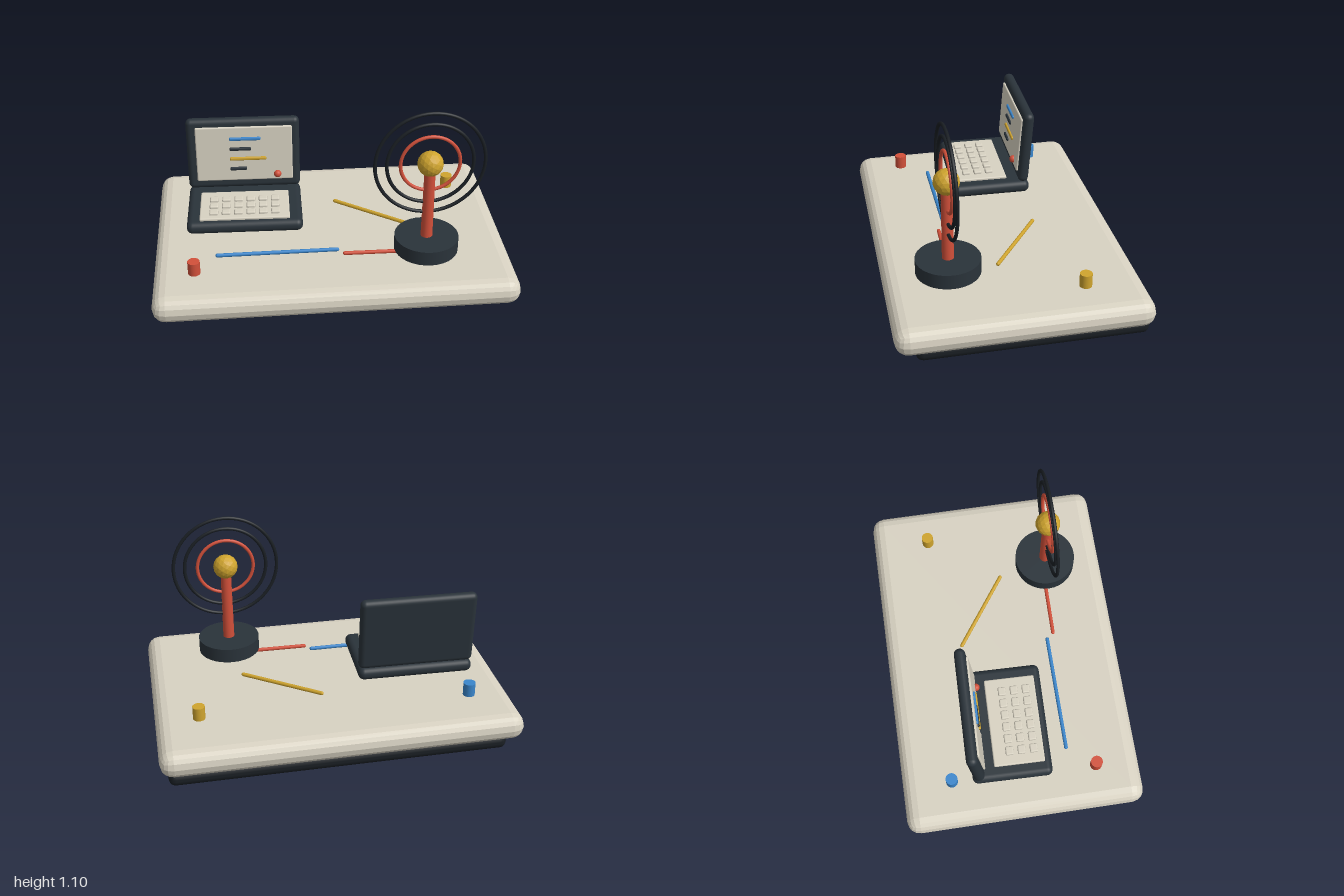
import * as THREE from 'three';
import { RoundedBoxGeometry } from 'three/addons/geometries/RoundedBoxGeometry.js';

const material = (name, color) => {
  const m = new THREE.MeshStandardMaterial({ color });
  m.name = name;
  return m;
};

// Faceted normals for the low-poly parts
function faceted(geometry) {
  const g = geometry.index ? geometry.toNonIndexed() : geometry;
  g.computeVertexNormals();
  return g;
}

export function createModel() {
  const cream = material('cream', 0xd8d2c2);
  const charcoal = material('charcoal', 0x2a333a);
  const black = material('black', 0x1a1f24);
  const red = material('red', 0xd2503a);
  const blue = material('blue', 0x3a86cc);
  const yellow = material('yellow', 0xcfa42e);

  const model = new THREE.Group();
  model.name = 'deskSet';

  function add(parent, name, geometry, mat, x, y, z) {
    const mesh = new THREE.Mesh(geometry, mat);
    mesh.name = name;
    mesh.position.set(x, y, z);
    parent.add(mesh);
    return mesh;
  }
  const rounded = (w, h, d, r, s = 2) => new RoundedBoxGeometry(w, h, d, s, r);

  // Desk slab and offset plate below it
  add(model, 'slab', faceted(rounded(2, 0.152, 1.375, 0.0755)), cream, 0, 0.132, 0);
  add(model, 'underPlate', rounded(1.86, 0.09, 1.24, 0.04), black, 0.028, 0.045, -0.04);

  // Laptop, turned slightly
  const laptop = new THREE.Group();
  laptop.name = 'laptop';
  laptop.position.set(-0.48, 0.325, -0.047);
  laptop.rotation.y = -0.025;
  model.add(laptop);
  add(laptop, 'laptopBase', rounded(0.655, 0.072, 0.455, 0.034, 3), charcoal, 0, 0, 0);
  add(laptop, 'keyboardPanel', rounded(0.51, 0.022, 0.29, 0.008), cream, 0, 0.039, 0.045);
  const keyGeometry = rounded(0.05, 0.024, 0.045, 0.008);
  for (let row = 0; row < 3; row++) {
    for (let col = 0; col < 6; col++) {
      add(laptop, 'key', keyGeometry, cream, (col - 2.5) * 0.07, 0.053, row * 0.069 - 0.004);
    }
  }

  // Leaning lid with screen and its painted lines
  const lid = new THREE.Group();
  lid.name = 'lid';
  lid.position.set(0, 0.254, -0.205);
  lid.rotation.x = -0.08;
  laptop.add(lid);
  add(lid, 'lidShell', rounded(0.655, 0.438, 0.062, 0.03, 3), charcoal, 0, 0, 0);
  add(lid, 'screen', rounded(0.56, 0.338, 0.022, 0.008), cream, 0.005, 0.005, 0.031);
  const lines = [
    [0.182, 0.102, blue], [0.125, 0.039, charcoal], [0.212, -0.023, yellow], [0.098, -0.086, charcoal],
  ];
  for (const [length, y, mat] of lines) {
    add(lid, 'screenLine', rounded(length, 0.02, 0.016, 0.007), mat, length / 2 - 0.08, y, 0.045);
  }
  add(lid, 'screenButton', new THREE.SphereGeometry(0.022, 16, 12), red, 0.195, -0.127, 0.045);

  // Antenna with concentric rings
  const antenna = new THREE.Group();
  antenna.name = 'antenna';
  antenna.position.set(0.517, 0, 0.34);
  model.add(antenna);
  add(antenna, 'antennaFoot', new THREE.CylinderGeometry(0.178, 0.178, 0.084, 32), charcoal, 0, 0.29, 0);
  add(antenna, 'mast', new THREE.CylinderGeometry(0.03, 0.033, 0.45, 20), red, 0, 0.545, 0);
  add(antenna, 'ball', faceted(new THREE.IcosahedronGeometry(0.071, 2)), yellow, 0, 0.787, 0);
  for (const [radius, mat] of [[0.3, black], [0.236, black], [0.162, red]]) {
    const ring = add(antenna, 'ring', new THREE.TorusGeometry(radius, 0.01, 8, 64), mat, 0, 0.787, 0);
    ring.rotation.y = 0.02;
  }

  // Pegs standing on the slab
  for (const [x, z, mat] of [[-0.771, 0.432, red], [-0.749, -0.401, blue], [0.762, -0.352, yellow]]) {
    add(model, 'peg', new THREE.CylinderGeometry(0.034, 0.034, 0.076, 18), mat, x, 0.259, z);
  }

  // Round-ended rods lying between the parts
  const rods = [
    [-0.657, 0.279, 0.037, 0.279, blue],
    [0.053, 0.32, 0.475, 0.326, red],
    [0.053, -0.24, 0.478, 0.064, yellow],
  ];
  for (const [x1, z1, x2, z2, mat] of rods) {
    const span = new THREE.Vector3(x2 - x1, 0, z2 - z1);
    const geometry = new THREE.CapsuleGeometry(0.011, span.length() - 0.022, 4, 10);
    const rod = add(model, 'rod', geometry, mat, (x1 + x2) / 2, 0.221, (z1 + z2) / 2);
    rod.quaternion.setFromUnitVectors(new THREE.Vector3(0, 1, 0), span.normalize());
  }

  return model;
}
